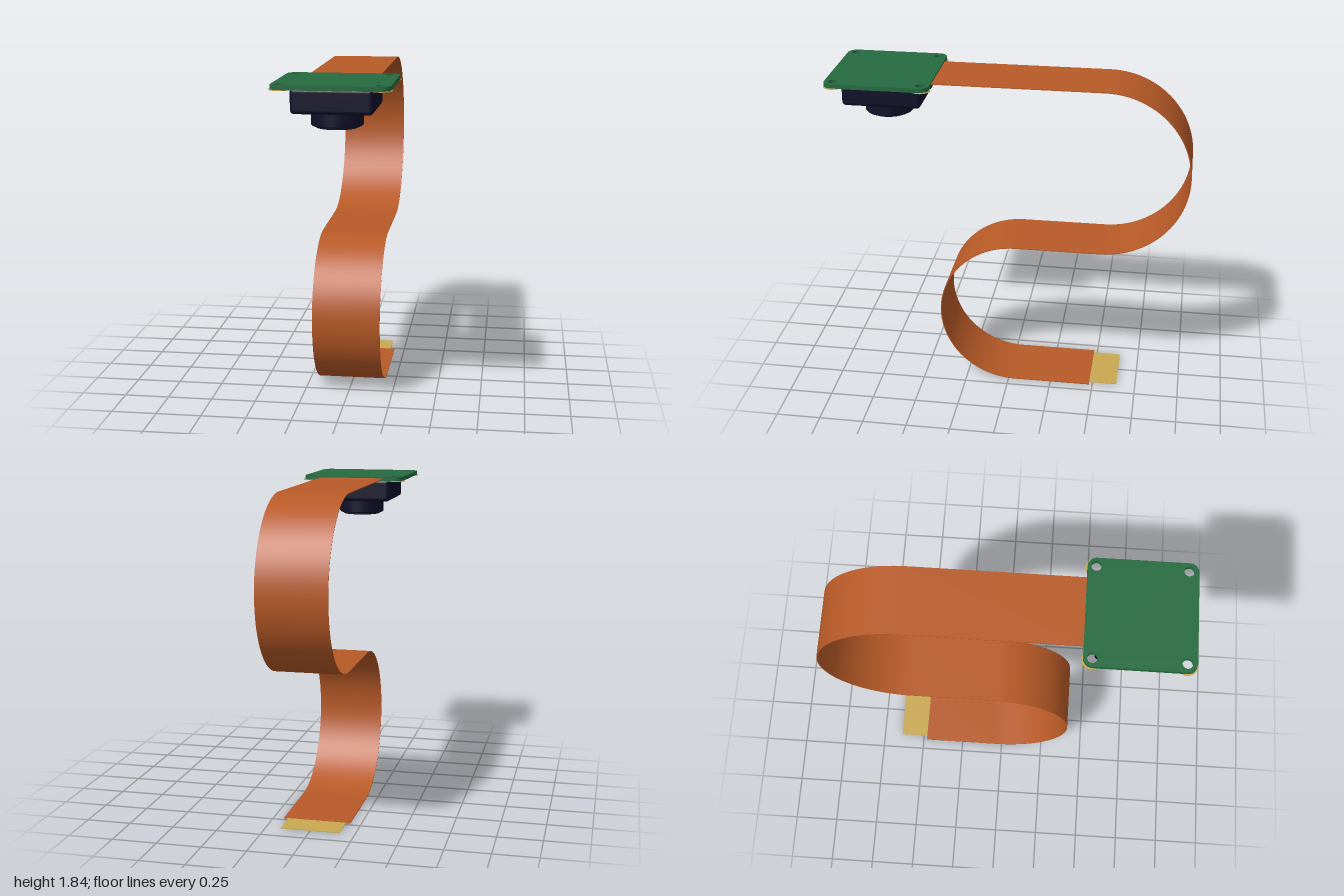
import * as THREE from 'three';
import { toCreasedNormals } from 'three/addons/utils/BufferGeometryUtils.js';
import { RoundedBoxGeometry } from 'three/addons/geometries/RoundedBoxGeometry.js';

const material = (name, color) => {
  const m = new THREE.MeshStandardMaterial({ color });
  m.name = name;
  return m;
};

export function createModel() {
  const copper = material('copper orange', 0xb85a27);
  const green = material('board green', 0x256b40);
  const gold = material('contact gold', 0xc9a850);
  const navy = material('housing navy', 0x10102a);
  const glass = material('lens black', 0x07070f);

  const model = new THREE.Group();
  model.name = 'cameraModule';
  const add = (name, geometry, mat, x = 0, y = 0, z = 0) => {
    const mesh = new THREE.Mesh(geometry, mat);
    mesh.name = name;
    mesh.position.set(x, y, z);
    model.add(mesh);
    return mesh;
  };

  // Ribbon: S-shaped centre line as [z, y, normal z, normal y]
  const half = 0.0025, width = 0.38, steps = 48;
  const line = [[0.44, 1.829, 0, 1]];
  for (let i = 0; i <= steps; i++) {
    const a = Math.PI / 2 + (Math.PI * i) / steps;
    const c = Math.cos(a), s = Math.sin(a);
    line.push([-0.52 + 0.4785 * c, 1.3505 + 0.4785 * s, c, s]);
  }
  for (let i = 0; i <= steps; i++) {
    const a = Math.PI / 2 - (Math.PI * i) / steps;
    const c = Math.cos(a), s = Math.sin(a);
    line.push([-0.037 + 0.43475 * c, 0.43725 + 0.43475 * s, -c, -s]);
  }
  line.push([-0.48, 0.0025, 0, 1]);
  const side = (k) => line.map(([z, y, nz, ny]) => new THREE.Vector2(z + k * nz, y + k * ny));
  const outline = new THREE.Shape([...side(half), ...side(-half).reverse()]);
  const ribbon = new THREE.ExtrudeGeometry(outline, { depth: width, bevelEnabled: false });
  ribbon.rotateY(-Math.PI / 2).translate(width / 2, 0, 0);
  add('ribbonCable', toCreasedNormals(ribbon, 0.6), copper);

  // Bare contacts at the cable end
  add('cableContacts', new THREE.BoxGeometry(0.33, 0.003, 0.18), gold, 0, 0.0025, -0.55);

  // Circuit board with rounded corners and four mounting holes
  const x = 0.3, z0 = 0.417, z1 = 0.993, r = 0.05;
  const holes = [];
  for (const hx of [-0.253, 0.253]) for (const hz of [0.463, 0.942]) holes.push([hx, hz]);
  const board = new THREE.Shape();
  board.absarc(x - r, z0 + r, r, -Math.PI / 2, 0);
  board.absarc(x - r, z1 - r, r, 0, Math.PI / 2);
  board.absarc(-x + r, z1 - r, r, Math.PI / 2, Math.PI);
  board.absarc(-x + r, z0 + r, r, Math.PI, Math.PI * 1.5);
  for (const [hx, hz] of holes) {
    board.holes.push(new THREE.Path().absarc(hx, hz, 0.027, 0, Math.PI * 2, true));
  }
  const boardGeometry = new THREE.ExtrudeGeometry(board, { depth: 0.024, bevelEnabled: false, curveSegments: 16 });
  boardGeometry.rotateX(Math.PI / 2);
  add('circuitBoard', toCreasedNormals(boardGeometry, 0.6), green, 0, 1.84, 0);

  // Gold rings around the holes, on the underside
  const ring = new THREE.Shape().absarc(0, 0, 0.055, 0, Math.PI * 2);
  ring.holes.push(new THREE.Path().absarc(0, 0, 0.028, 0, Math.PI * 2, true));
  const ringGeometry = new THREE.ExtrudeGeometry(ring, { depth: 0.004, bevelEnabled: false, curveSegments: 16 });
  ringGeometry.rotateX(Math.PI / 2);
  for (const [hx, hz] of holes) add('holeRing', ringGeometry, gold, hx, 1.817, hz);

  // Small solder pads beside and in front of the housing
  for (let i = 0; i < 5; i++) {
    add('sidePad', new THREE.BoxGeometry(0.04, 0.007, 0.018), gold, 0.252, 1.8135, 0.58 + i * 0.045);
  }
  for (const px of [-0.12, -0.05, 0, 0.12]) {
    add('frontPad', new THREE.BoxGeometry(0.02, 0.007, 0.03), gold, px, 1.8135, 0.95);
  }

  // Square lens housing under the board
  const lensZ = 0.697;
  add('lensHousing', new RoundedBoxGeometry(0.42, 0.132, 0.436, 3, 0.022), navy, 0, 1.752, lensZ);

  // Stepped lens barrel, with a recess around the glass
  const profile = [
    [0.135, 1.70], [0.135, 1.612], [0.13, 1.606], [0.112, 1.606], [0.112, 1.598],
    [0.107, 1.595], [0.075, 1.595], [0.055, 1.612], [0, 1.612],
  ].map(([px, py]) => new THREE.Vector2(px, py)).reverse();
  add('lensBarrel', toCreasedNormals(new THREE.LatheGeometry(profile, 48), 0.5), navy, 0, 0, lensZ);
  const lens = new THREE.SphereGeometry(0.055, 32, 8, 0, Math.PI * 2, Math.PI / 2, Math.PI / 2);
  lens.scale(1, 0.2, 1);
  add('lensGlass', lens, glass, 0, 1.612, lensZ);

  return model;
}
